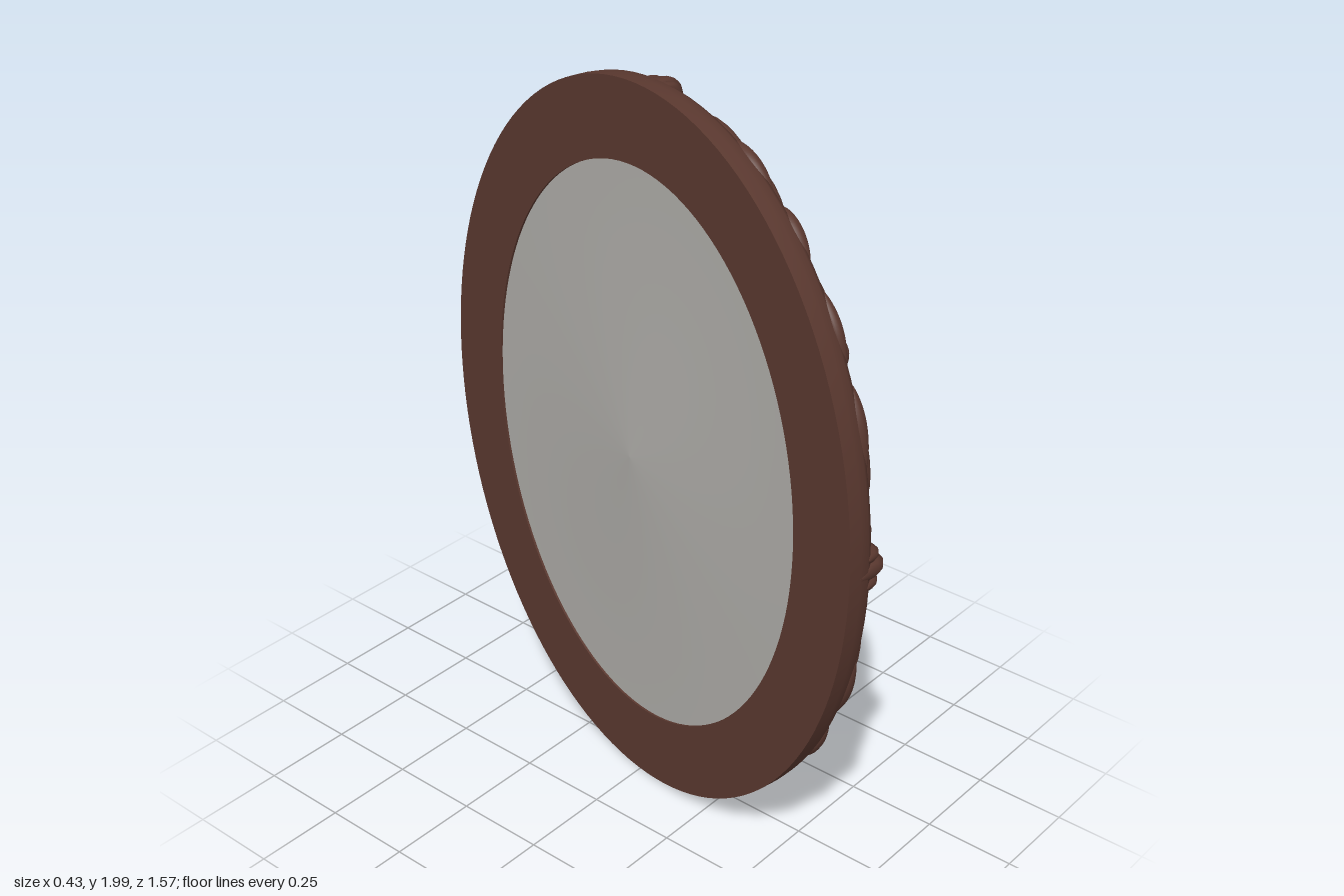
import * as THREE from 'three';
import { mergeGeometries } from 'three/addons/utils/BufferGeometryUtils.js';

const rad = THREE.MathUtils.degToRad;

// Frame cross-section: t runs from the opening (0) to the outer edge (1), w is depth.
const profile = [
  [1, -0.066], [1, -0.03], [0.985, -0.005], [0.94, 0.01], [0.85, 0.018], [0.68, 0.02], [0.5, 0.017],
  [0.34, 0.01], [0.24, 0.011], [0.19, 0.028], [0.13, 0.04], [0.07, 0.04], [0.02, 0.03], [0, 0.018],
  [0, 0.018], [0, -0.066], [0, -0.066], [1, -0.066],
];

// Point on the oval at angle (degrees), band position t and depth w
function oval(deg, t, w) {
  const a = rad(deg);
  return new THREE.Vector3((0.6 + 0.195 * t) * Math.cos(a), (0.785 + 0.208 * t) * Math.sin(a), w);
}

// Depth of the plain carved bed at t
function bed(t) {
  for (let i = 0; i < 12; i++) {
    const [t0, w0] = profile[i], [t1, w1] = profile[i + 1];
    if (t <= t0 && t >= t1 && t0 > t1) return w0 + ((w1 - w0) * (t0 - t)) / (t0 - t1);
  }
  return 0;
}

// Surface from a grid of points, optionally closed in either direction
function surface(nu, nv, wrapU, wrapV, point) {
  const pos = [], index = [];
  for (let i = 0; i < nu; i++) for (let j = 0; j < nv; j++) pos.push(...point(i, j).toArray());
  for (let i = 0; i < (wrapU ? nu : nu - 1); i++) {
    for (let j = 0; j < (wrapV ? nv : nv - 1); j++) {
      const i2 = (i + 1) % nu, j2 = (j + 1) % nv;
      const a = i * nv + j, b = i2 * nv + j, c = i2 * nv + j2, d = i * nv + j2;
      index.push(a, b, c, a, c, d);
    }
  }
  const g = new THREE.BufferGeometry();
  g.setAttribute('position', new THREE.Float32BufferAttribute(pos, 3));
  g.setIndex(index);
  g.computeVertexNormals();
  return g;
}

// Carved stroke: swelling, tapered ridge along [degrees, t] points
function stroke(pts, width, height, { sx = 1, sy = 1, blunt = 0.6, segs = 20 } = {}) {
  const path = new THREE.CatmullRomCurve3(pts.map(([d, t]) => new THREE.Vector3(d / 14, t, 0)));
  const line = [];
  for (let i = 0; i <= segs; i++) {
    const q = path.getPoint(i / segs);
    const p = oval(q.x * 14, q.y, bed(q.y) - 0.003);
    line.push(p.set(p.x * sx, p.y * sy, p.z));
  }
  const N = new THREE.Vector3(0, 0, 1);
  return surface(segs + 1, 10, false, true, (i, j) => {
    const T = line[Math.min(i + 1, segs)].clone().sub(line[Math.max(i - 1, 0)]).setZ(0).normalize();
    const S = T.cross(N);
    const k = Math.pow(Math.max(Math.sin((Math.PI * i) / segs), 0.0005), blunt);
    const a = (j / 10) * Math.PI * 2;
    return line[i].clone().addScaledVector(S, Math.cos(a) * width * k)
      .addScaledVector(N, Math.sin(a) * height * k);
  });
}

// Spiral that unwinds from a centre into a tail
function scrollPath(deg, t, r, start, turn, tail) {
  const pts = [];
  for (let i = 0; i <= 10; i++) {
    const a = rad(start + (turn * i) / 10), s = r * (0.3 + 0.07 * i);
    pts.push([deg + (s * Math.cos(a)) / 0.0148, t + (s * Math.sin(a)) / 0.2]);
  }
  return [...pts, ...tail];
}

// One quarter of the carving: [centre angle, t, radius, start, turn, tail]
const scrolls = [
  [79, 0.5, 0.052, 120, -390, [[72, 0.88], [66, 0.8], [62, 0.55]]],
  [54, 0.46, 0.048, 150, -420, [[61, 0.86], [67, 0.72], [72, 0.4]]],
  [33, 0.62, 0.046, 100, -370, [[40, 0.38], [46, 0.6], [50, 0.85]]],
  [11.5, 0.5, 0.052, 60, 390, [[18, 0.86], [24, 0.75], [29, 0.42]]],
];

// Leaf blades: [points, width, height]
const leaves = [
  [[[85.5, 0.35], [84, 0.65], [85.5, 0.92]], 0.02, 0.026],
  [[[74, 0.32], [69, 0.4], [64, 0.32]], 0.02, 0.024],
  [[[73, 0.6], [67, 0.62], [60, 0.68]], 0.016, 0.024],
  [[[70, 0.9], [64, 0.93], [58, 0.85]], 0.016, 0.02],
  [[[57, 0.8], [52, 0.9], [46, 0.88]], 0.018, 0.022],
  [[[50, 0.4], [45, 0.36], [39, 0.5]], 0.022, 0.026],
  [[[49, 0.65], [43, 0.72], [37, 0.82]], 0.02, 0.026],
  [[[42, 0.9], [36, 0.94], [30, 0.88]], 0.015, 0.018],
  [[[32, 0.35], [26, 0.34], [20, 0.45]], 0.019, 0.025],
  [[[28, 0.7], [23, 0.6], [17, 0.66]], 0.02, 0.026],
  [[[28, 0.9], [22, 0.93], [15, 0.9]], 0.015, 0.02],
  [[[17, 0.34], [12, 0.28], [6, 0.34]], 0.014, 0.02],
  [[[6, 0.3], [7.2, 0.6], [5.5, 0.92]], 0.02, 0.026],
];

const place = (geometry, material, name) => {
  const mesh = new THREE.Mesh(geometry, material);
  mesh.name = name;
  return mesh;
};

export function createModel() {
  const wood = new THREE.MeshStandardMaterial({ color: 0x5a382f });
  wood.name = 'dark brown wood';
  const silver = new THREE.MeshStandardMaterial({ color: 0xaeaca8 });
  silver.name = 'grey glass';

  const mirror = new THREE.Group();
  mirror.name = 'ovalMirror';

  // Moulded oval frame
  mirror.add(place(surface(128, profile.length, true, false,
    (i, j) => oval((i / 128) * 360, ...profile[j])), wood, 'frame'));

  // Scrolls, eyes and leaves, mirrored into four quarters
  const scrollGeos = [], eyeGeos = [], leafGeos = [];
  for (const sx of [1, -1]) for (const sy of [1, -1]) {
    for (const [deg, t, r, start, turn, tail] of scrolls) {
      scrollGeos.push(stroke(scrollPath(deg, t, r, start, turn, tail), 0.014, 0.027,
        { sx, sy, blunt: 0.4, segs: 48 }));
      const c = oval(deg, t, bed(t) + 0.006);
      eyeGeos.push(new THREE.SphereGeometry(0.019, 14, 10).translate(c.x * sx, c.y * sy, c.z));
    }
    for (const [pts, width, height] of leaves) leafGeos.push(stroke(pts, width, height, { sx, sy }));
  }
  mirror.add(place(mergeGeometries(scrollGeos), wood, 'scrolls'));
  mirror.add(place(mergeGeometries(eyeGeos), wood, 'scrollEyes'));
  mirror.add(place(mergeGeometries(leafGeos), wood, 'leaves'));

  // Ribbed clasps at top, bottom and both sides
  const claspGeos = [];
  for (const deg of [0, 90, 180, 270]) {
    const rib = (d, t0, t1, width, height) => claspGeos.push(
      stroke([[deg + d, t0], [deg + d, (t0 + t1) / 2], [deg + d, t1]], width, height, { blunt: 0.25 }));
    rib(0, 0.38, 1, 0.027, 0.062);
    rib(0, 0.1, 0.5, 0.022, 0.036);
    for (const s of [-1, 1]) {
      rib(s * 2.2, 0.42, 0.98, 0.018, 0.042);
      rib(s * 2.6, 0.16, 0.45, 0.014, 0.026);
    }
  }
  mirror.add(place(mergeGeometries(claspGeos), wood, 'clasps'));

  // Flat glass in front, shallow dome behind
  mirror.add(place(new THREE.CircleGeometry(1, 96).scale(0.604, 0.789, 1).translate(0, 0, 0.019),
    silver, 'glass'));
  mirror.add(place(surface(96, 9, true, false, (i, j) => {
    const a = (i / 96) * Math.PI * 2, s = Math.max(j / 8, 0.001);
    return new THREE.Vector3(0.602 * s * Math.cos(a), 0.787 * s * Math.sin(a),
      -0.06 - 0.027 * Math.pow(1 - s, 1.4));
  }), silver, 'glassBack'));

  // Stand it up, turned towards its left
  mirror.rotation.y = rad(79);
  mirror.position.set(0, 1, 0);
  const model = new THREE.Group();
  model.name = 'model';
  model.add(mirror);
  return model;
}
